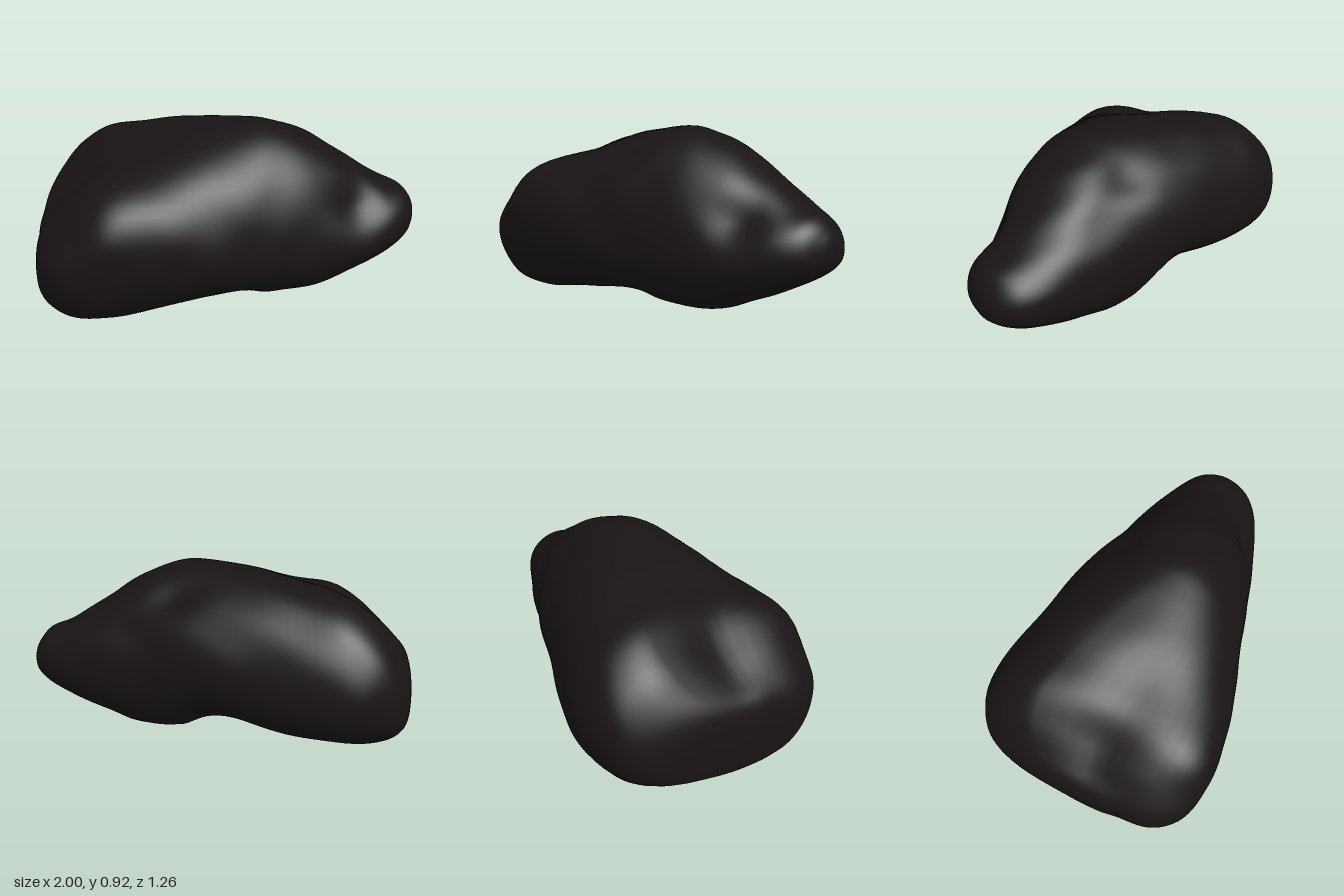
import * as THREE from 'three';

// Cross-sections along x: x, top y, bottom y, back z, front z,
// z of the top, z of the bottom, y of the back bulge, y of the front bulge
const SECTIONS = [
  [-1.00, 0.37, 0.15, -0.03, 0.20, 0.08, 0.10, 0.25, 0.25],
  [-0.975, 0.50, 0.09, -0.33, 0.41, -0.06, 0.20, 0.30, 0.27],
  [-0.90, 0.61, 0.04, -0.52, 0.53, -0.20, 0.28, 0.36, 0.31],
  [-0.78, 0.73, 0.002, -0.60, 0.595, -0.27, 0.33, 0.40, 0.36],
  [-0.62, 0.82, 0.002, -0.63, 0.62, -0.27, 0.33, 0.40, 0.44],
  [-0.40, 0.86, 0.03, -0.60, 0.60, -0.20, 0.30, 0.42, 0.42],
  [-0.15, 0.90, 0.068, -0.53, 0.55, -0.08, 0.25, 0.44, 0.38],
  [0.05, 0.915, 0.07, -0.485, 0.50, 0.00, 0.20, 0.45, 0.36],
  [0.20, 0.91, 0.01, -0.44, 0.46, 0.03, 0.10, 0.45, 0.34],
  [0.40, 0.845, 0.02, -0.37, 0.41, 0.02, 0.08, 0.45, 0.33],
  [0.60, 0.72, 0.10, -0.305, 0.36, 0.00, 0.08, 0.43, 0.33],
  [0.80, 0.595, 0.19, -0.23, 0.29, 0.00, 0.08, 0.41, 0.35],
  [0.92, 0.54, 0.26, -0.16, 0.20, 0.02, 0.05, 0.40, 0.38],
  [0.98, 0.47, 0.31, -0.09, 0.10, 0.01, 0.02, 0.39, 0.38],
  [1.00, 0.41, 0.35, -0.03, 0.03, 0.00, 0.00, 0.38, 0.38],
];

// Hollows (and, with a negative depth, ridges): centre, reach along each axis, depth
const HOLLOWS = [
  { at: [0.20, 0.80, -0.24], reach: [0.14, 0.15, 0.10], depth: 0.035 }, // crease on the back shoulder
  { at: [0.42, 0.66, -0.25], reach: [0.16, 0.15, 0.10], depth: 0.025 }, // crease towards the tip
  { at: [0.34, 0.45, -0.36], reach: [0.12, 0.22, 0.10], depth: 0.015 }, // crease down the back
  { at: [0.02, 0.18, -0.38], reach: [0.22, 0.18, 0.18], depth: 0.05 }, // hollow low on the back
  { at: [0.62, 0.52, 0.25], reach: [0.17, 0.13, 0.15], depth: 0.065 }, // dish beside the tip
  { at: [-0.78, 0.70, 0.08], reach: [0.24, 0.24, 0.22], depth: 0.075 }, // valley over the blunt end
  { at: [-0.48, 0.80, 0.14], reach: [0.18, 0.18, 0.15], depth: 0.025 }, // valley running up to the top
  { at: [-0.52, 0.66, 0.50], reach: [0.26, 0.15, 0.18], depth: -0.025 }, // front ridge
  { at: [-0.95, 0.30, 0.26], reach: [0.10, 0.20, 0.07], depth: 0.02 }, // nick on the blunt end
];

const STEPS = 6;
const SIDES = 72;
const { lerp, smoothstep } = THREE.MathUtils;

function sectionAt(t) {
  const i = Math.min(Math.floor(t), SECTIONS.length - 2);
  const f = t - i;
  const row = (k) => SECTIONS[Math.max(0, Math.min(SECTIONS.length - 1, k))];
  return SECTIONS[0].map((_, n) => {
    const [a, b, c, d] = [row(i - 1)[n], row(i)[n], row(i + 1)[n], row(i + 2)[n]];
    const m0 = (c - a) / 2, m1 = (d - b) / 2;
    return b + f * (m0 + f * (3 * (c - b) - 2 * m0 - m1 + f * (2 * (b - c) + m0 + m1)));
  });
}

// Roundness of each quarter of a cross-section
function powerOf(c, s) {
  if (s > 0) return c > 0 ? 2.15 : 2;
  return c > 0 ? 2.05 : 2.6;
}

// Low, smooth surface unevenness
function ripple(x, y, z) {
  return 0.004 * Math.sin(9 * x + 5 * y + 2) * Math.sin(8 * z - 6 * y)
    + 0.003 * Math.sin(17 * x - 11 * z) * Math.sin(15 * y + 9 * z + 1);
}

// Underside: it rises to the back, with a lower lobe towards the tip
function raiseUnderside(p) {
  const body = lerp(-0.04, 0.125, smoothstep(-p.z, -0.4, 0.2));
  const lobe = lerp(-0.04, 0.11, smoothstep(-p.z, -0.03, 0.26));
  const floor = lerp(body, lobe, smoothstep(p.x, 0, 0.19));
  p.y = (p.y + floor + Math.hypot(p.y - floor, 0.02)) / 2;
}

function createStoneGeometry() {
  const positions = [];
  const indices = [];
  const rings = (SECTIONS.length - 1) * STEPS + 1;

  for (let i = 0; i < rings; i++) {
    const [x, top, bottom, back, front, zTop, zBottom, yBack, yFront] = sectionAt(i / STEPS);
    const centre = new THREE.Vector3(x * 0.85, (top + bottom) / 2, (back + front) / 2);
    for (let j = 0; j < SIDES; j++) {
      const angle = (j / SIDES) * Math.PI * 2;
      const c = Math.cos(angle), s = Math.sin(angle);
      const power = powerOf(c, s);
      const r = Math.pow(Math.abs(c) ** power + Math.abs(s) ** power, -1 / power);
      const z0 = s > 0 ? zTop : zBottom;
      const y0 = c > 0 ? yFront : yBack;
      const p = new THREE.Vector3(
        x,
        y0 + Math.abs(s) * r * ((s > 0 ? top : bottom) - y0),
        z0 + Math.abs(c) * r * ((c > 0 ? front : back) - z0)
      );
      // Press in the hollows, lift the ridge and add the unevenness
      let push = ripple(p.x, p.y, p.z) * Math.min(1, (1 - Math.abs(x)) * 8);
      for (const { at, reach, depth } of HOLLOWS) {
        const d = ((p.x - at[0]) / reach[0]) ** 2 + ((p.y - at[1]) / reach[1]) ** 2
          + ((p.z - at[2]) / reach[2]) ** 2;
        push -= depth * Math.exp(-d);
      }
      const outward = p.clone().sub(centre).normalize();
      p.addScaledVector(outward, push);
      raiseUnderside(p);
      positions.push(p.x, p.y, p.z);
    }
  }

  for (let i = 0; i < rings - 1; i++) {
    for (let j = 0; j < SIDES; j++) {
      const k = (j + 1) % SIDES;
      const a = i * SIDES + j, b = a + SIDES;
      const c = i * SIDES + k, d = c + SIDES;
      indices.push(a, b, c, b, d, c);
    }
  }

  // Close both ends
  const first = positions.length / 3;
  const last = (rings - 1) * SIDES;
  positions.push(-1, 0.25, 0.09, 1, 0.38, 0);
  for (let j = 0; j < SIDES; j++) {
    const k = (j + 1) % SIDES;
    indices.push(first, j, k, first + 1, last + k, last + j);
  }

  const geometry = new THREE.BufferGeometry();
  geometry.setAttribute('position', new THREE.Float32BufferAttribute(positions, 3));
  geometry.setIndex(indices);
  geometry.computeVertexNormals();
  return geometry;
}

export function createModel() {
  const group = new THREE.Group();
  group.name = 'rock';
  const stone = new THREE.Mesh(
    createStoneGeometry(),
    new THREE.MeshStandardMaterial({ color: 0x181413 })
  );
  stone.name = 'stone';
  group.add(stone);
  return group;
}
